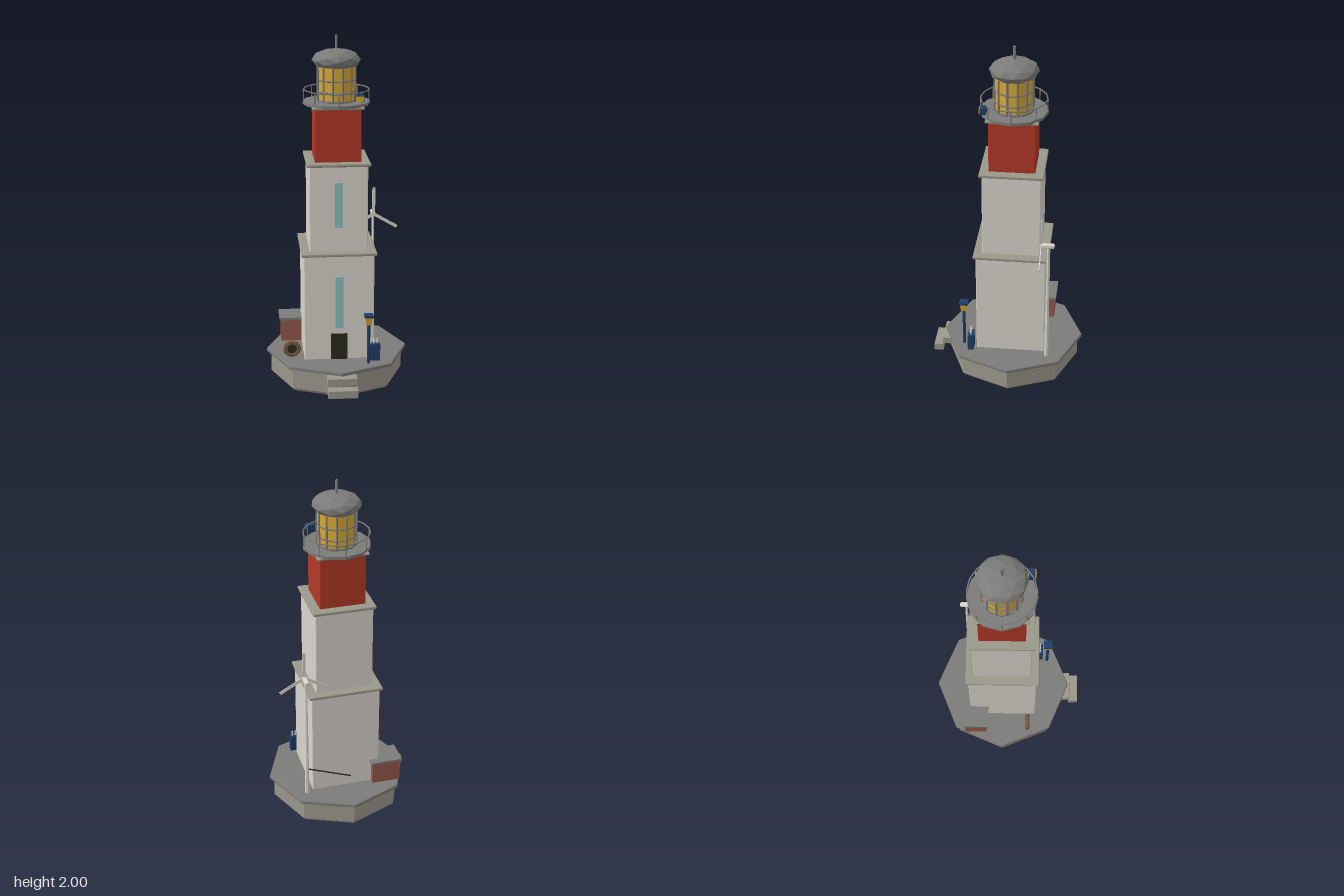
import * as THREE from 'three';
import { RoundedBoxGeometry } from 'three/addons/geometries/RoundedBoxGeometry.js';

const CZ = -0.033; // tower axis
const mat = (name, color) => {
  const m = new THREE.MeshStandardMaterial({ color, flatShading: true });
  m.name = name;
  return m;
};

export function createModel() {
  const white = mat('whitewash', 0xd9d5cd);
  const red = mat('red paint', 0xb33826);
  const concrete = mat('concrete', 0x9a978a);
  const grey = mat('grey metal', 0x7b7c79);
  const navy = mat('navy paint', 0x1f3d66);
  const amber = mat('amber glass', 0xdba832);
  const glass = mat('pale window glass', 0x8fc3c4);
  const brick = mat('brick', 0x96584a);
  const dark = mat('dark', 0x2c2a1c);
  const brown = mat('brown', 0x75593f);

  const model = new THREE.Group();
  model.name = 'lighthouse';
  const add = (name, geo, material, x = 0, y = 0, z = 0, parent = model) => {
    const m = new THREE.Mesh(geo, material);
    m.name = name;
    m.position.set(x, y, z);
    parent.add(m);
    return m;
  };
  const group = (name, x, y, z) => {
    const g = new THREE.Group();
    g.name = name;
    g.position.set(x, y, z);
    model.add(g);
    return g;
  };
  // Box given by its extents, optionally with bevelled edges
  const box = (name, material, [x0, x1], [y0, y1], [z0, z1], bevel = 0) => {
    const s = [x1 - x0, y1 - y0, z1 - z0];
    const geo = bevel ? new RoundedBoxGeometry(...s, 1, bevel) : new THREE.BoxGeometry(...s);
    return add(name, geo, material, (x0 + x1) / 2, (y0 + y1) / 2, (z0 + z1) / 2);
  };
  const cyl = (name, material, rTop, rBottom, y0, y1, sides, x = 0, z = CZ) =>
    add(name, new THREE.CylinderGeometry(rTop, rBottom, y1 - y0, sides), material, x, (y0 + y1) / 2, z);
  // Straight round bar between two points
  const bar = (name, material, a, b, r) => {
    const p = new THREE.Vector3(...a), q = new THREE.Vector3(...b);
    const m = add(name, new THREE.CylinderGeometry(r, r, p.distanceTo(q), 6), material);
    m.position.copy(p).lerp(q, 0.5);
    m.quaternion.setFromUnitVectors(new THREE.Vector3(0, 1, 0), q.sub(p).normalize());
  };

  // Octagonal foundation and deck
  cyl('foundationChamfer', concrete, 0.387, 0.372, 0, 0.018, 8);
  cyl('foundation', concrete, 0.387, 0.387, 0.018, 0.14, 8);
  cyl('deck', grey, 0.412, 0.412, 0.14, 0.156, 8);
  cyl('deckEdge', grey, 0.408, 0.412, 0.156, 0.16, 8);

  // Front steps
  box('upperStep', concrete, [-0.085, 0.085], [0.085, 0.13], [0.325, 0.39], 0.003);
  box('lowerStep', concrete, [-0.085, 0.085], [0.033, 0.08], [0.387, 0.443], 0.003);

  // Three stepped tower stages, each with a cornice
  [
    ['lower', white, 0.2, 0.155, 0.785, 0.215, 0.018],
    ['middle', white, 0.165, 0.79, 1.295, 0.18, 0.018],
    ['upper', red, 0.13, 1.3, 1.61, 0.146, 0.014],
  ].forEach(([name, material, half, y0, y1, ledge, thick]) => {
    box(name + 'Stage', material, [-half, half], [y0, y1], [CZ - half, CZ + half], 0.004);
    box(name + 'Cornice', concrete, [-ledge, ledge], [y1 - 0.004, y1 + thick - 0.004], [CZ - ledge, CZ + ledge], 0.005);
  });

  // Door and tall windows
  box('door', dark, [-0.047, 0.047], [0.16, 0.315], [0.166, 0.175]);
  box('lowerWindow', glass, [-0.022, 0.022], [0.35, 0.66], [0.166, 0.175]);
  box('middleWindow', glass, [-0.022, 0.022], [0.94, 1.2], [0.131, 0.14]);

  // Gallery with railing
  cyl('gallery', grey, 0.19, 0.19, 1.618, 1.635, 12);
  const rail = add('railing', new THREE.TorusGeometry(0.184, 0.004, 5, 16), grey, 0, 1.7, CZ);
  rail.rotation.x = Math.PI / 2;
  for (let i = 0; i < 8; i++) {
    const a = (i * Math.PI) / 4;
    cyl('railingPost', grey, 0.004, 0.004, 1.63, 1.7, 5, 0.184 * Math.sin(a), CZ + 0.184 * Math.cos(a));
  }

  // Lantern room: glazing, frame and faceted dome
  cyl('lanternGlass', amber, 0.106, 0.106, 1.63, 1.83, 12).rotation.y = Math.PI / 12;
  for (let i = 0; i < 12; i++) {
    const a = ((i + 0.5) * Math.PI) / 6;
    cyl('mullion', grey, 0.006, 0.006, 1.63, 1.83, 6, 0.108 * Math.sin(a), CZ + 0.108 * Math.cos(a));
  }
  for (const y of [1.69, 1.755]) {
    const ring = add('lanternBand', new THREE.TorusGeometry(0.108, 0.005, 5, 12), grey, 0, y, CZ);
    ring.rotation.set(Math.PI / 2, 0, Math.PI / 12);
  }
  cyl('lanternSill', grey, 0.114, 0.114, 1.63, 1.645, 12);
  add('dome', new THREE.IcosahedronGeometry(0.138, 1), grey, 0, 1.865, CZ).scale.y = 0.45;
  cyl('spire', grey, 0.008, 0.008, 1.9, 2, 8);

  // Gallery floodlight
  box('floodlight', navy, [0.088, 0.14], [1.655, 1.69], [0.106, 0.14]);
  box('floodlightLens', amber, [0.091, 0.137], [1.658, 1.687], [0.14, 0.145]);

  // Wind turbine
  cyl('turbinePole', white, 0.007, 0.013, 0.16, 0.91, 8, 0.237, -0.25);
  box('nacelle', white, [0.224, 0.25], [0.903, 0.927], [-0.285, -0.217], 0.006);
  const rotor = group('rotor', 0.237, 0.915, -0.21);
  add('hub', new THREE.CylinderGeometry(0.01, 0.01, 0.016, 8), white, 0, 0, 0, rotor).rotation.x = Math.PI / 2;
  for (let i = 0; i < 3; i++) {
    const blade = new THREE.BoxGeometry(0.018, 0.16, 0.005).translate(0, 0.08, 0);
    add('blade', blade, white, 0, 0, 0, rotor).rotation.z = (i * Math.PI * 2) / 3;
  }
  bar('turbineCable', dark, [0.237, 0.325, -0.25], [-0.03, 0.215, -0.234], 0.004);

  // Brick shed
  box('shed', brick, [-0.322, -0.157], [0.158, 0.295], [-0.267, -0.133]);
  box('shedRoof', grey, [-0.332, -0.147], [0.293, 0.307], [-0.277, -0.123]);

  // Upright cable drum
  add('drum', new THREE.TorusGeometry(0.038, 0.0145, 6, 12), brown, -0.27, 0.212, 0.121);
  add('drumCore', new THREE.CylinderGeometry(0.034, 0.034, 0.014, 12), dark, -0.27, 0.212, 0.121).rotation.x = Math.PI / 2;

  // Lamp post
  cyl('lampPost', navy, 0.009, 0.009, 0.16, 0.4, 8, 0.161, 0.245);
  cyl('lampHead', amber, 0.03, 0.022, 0.395, 0.443, 4, 0.161, 0.245).rotation.y = Math.PI / 4;
  box('lampRoof', navy, [0.136, 0.186], [0.441, 0.455], [0.22, 0.27]);

  // Equipment cabinet with three insulators
  box('cabinet', navy, [0.162, 0.232], [0.16, 0.262], [0.183, 0.217], 0.003);
  for (const x of [0.177, 0.197, 0.217]) cyl('insulator', white, 0.005, 0.005, 0.26, 0.29, 6, x, 0.2);

  return model;
}
